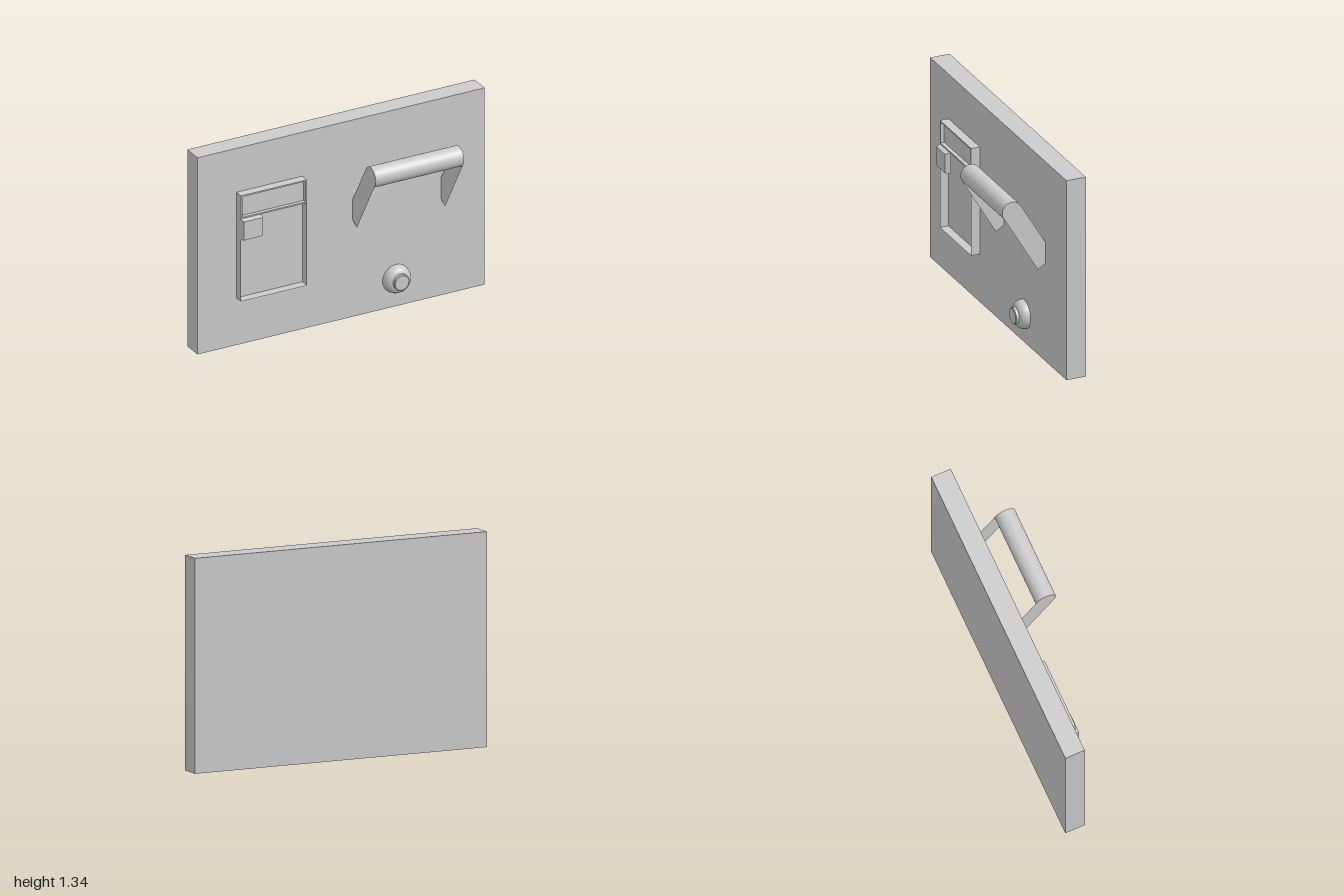
import * as THREE from 'three';

const grey = new THREE.MeshStandardMaterial({ color: 0xcccccc });
const thin = new THREE.MeshStandardMaterial({ color: 0xcccccc, side: THREE.DoubleSide });
const faceted = new THREE.MeshStandardMaterial({ color: 0xcccccc, flatShading: true });

function add(parent, name, geometry, material = grey) {
  const mesh = new THREE.Mesh(geometry, material);
  mesh.name = name;
  parent.add(mesh);
  return mesh;
}

// Box given by its limits on each axis
function box(x0, x1, y0, y1, z0, z1) {
  return new THREE.BoxGeometry(x1 - x0, y1 - y0, z1 - z0)
    .translate((x0 + x1) / 2, (y0 + y1) / 2, (z0 + z1) / 2);
}

function rectangle(target, x0, x1, y0, y1) {
  target.moveTo(x0, y0);
  target.lineTo(x1, y0);
  target.lineTo(x1, y1);
  target.lineTo(x0, y1);
  target.closePath();
  return target;
}

const FACE = -0.08; // front of the panel

// Shallow tray: header strip with a recess, and paper-thin walls below it
function createTray() {
  const tray = new THREE.Group();
  tray.name = 'tray';
  const [x0, x1, yBottom, yMid, yTop, front] = [-0.73, -0.27, 0.32, 0.88, 1.037, -0.022];
  const rim = 0.009, recess = 0.025;

  const outline = rectangle(new THREE.Shape(), x0, x1, yMid, yTop);
  outline.holes.push(rectangle(new THREE.Path(), x0 + rim, x1 - rim, yMid + rim, yTop - rim));
  const rimGeometry = new THREE.ExtrudeGeometry(outline, { depth: recess, bevelEnabled: false });
  add(tray, 'headerRim', rimGeometry.translate(0, 0, front - recess));
  add(tray, 'headerBase', box(x0, x1, yMid, yTop, FACE, front - recess));

  const depth = front - FACE, zMid = (front + FACE) / 2;
  [x0, x1].forEach((x, i) => {
    const wall = new THREE.PlaneGeometry(depth, yMid - yBottom).rotateY(Math.PI / 2);
    add(tray, i ? 'leftWall' : 'rightWall', wall.translate(x, (yBottom + yMid) / 2, zMid), thin);
  });
  const floor = new THREE.PlaneGeometry(x1 - x0, depth).rotateX(-Math.PI / 2);
  add(tray, 'bottomWall', floor.translate((x0 + x1) / 2, yBottom, zMid), thin);
  return tray;
}

// Push button whose sides slope in towards the front
function createButton() {
  const geometry = new THREE.BoxGeometry(0.15, 0.145, 0.035);
  const p = geometry.attributes.position;
  for (let i = 0; i < p.count; i++) {
    if (p.getZ(i) > 0) p.setXY(i, p.getX(i) * 0.86, p.getY(i) * 0.86);
  }
  geometry.translate(-0.658, 0.807, -0.0125);
  geometry.computeVertexNormals();
  const button = new THREE.Mesh(geometry, faceted);
  button.name = 'button';
  return button;
}

// Round bar carried by two flat slanting arms
function createHandle() {
  const handle = new THREE.Group();
  handle.name = 'handle';
  const [x0, x1, y, z, r] = [0.08, 0.695, 1.043, 0.145, 0.066];
  const bar = new THREE.CylinderGeometry(r, r, x1 - x0, 48).rotateZ(Math.PI / 2);
  add(handle, 'bar', bar.translate((x0 + x1) / 2, y, z));

  // Arm outline drawn with z across and y up
  const arm = new THREE.Shape();
  arm.moveTo(FACE, 0.797);
  arm.lineTo(FACE, 0.656);
  arm.lineTo(-0.027, 0.625);
  arm.absarc(z, y, r, -Math.PI / 6, Math.PI * 5 / 6, false);
  arm.closePath();
  [x0, x1].forEach((x, i) => {
    const plate = new THREE.ShapeGeometry(arm, 24).rotateY(-Math.PI / 2);
    add(handle, i ? 'leftArm' : 'rightArm', plate.translate(x, 0, 0), thin);
  });
  return handle;
}

// Domed knob with a small round cap
function createKnob() {
  const knob = new THREE.Group();
  knob.name = 'knob';
  const lathe = (points) => new THREE.LatheGeometry(
    points.map(([r, h]) => new THREE.Vector2(r, h)), 32).rotateX(Math.PI / 2);
  add(knob, 'dome', lathe([
    [0.093, 0], [0.092, 0.014], [0.088, 0.03], [0.08, 0.044], [0.07, 0.053], [0.06, 0.058], [0, 0.058],
  ]), faceted);
  add(knob, 'cap', lathe([[0.053, 0.056], [0.053, 0.076], [0.048, 0.08], [0, 0.08]]), faceted);
  knob.position.set(0.381, 0.19, FACE);
  return knob;
}

export function createModel() {
  const model = new THREE.Group();
  model.name = 'controlPanel';
  add(model, 'panel', box(-1, 1, 0, 1.335, -0.21, FACE));
  model.add(createTray(), createButton(), createHandle(), createKnob());
  return model;
}
